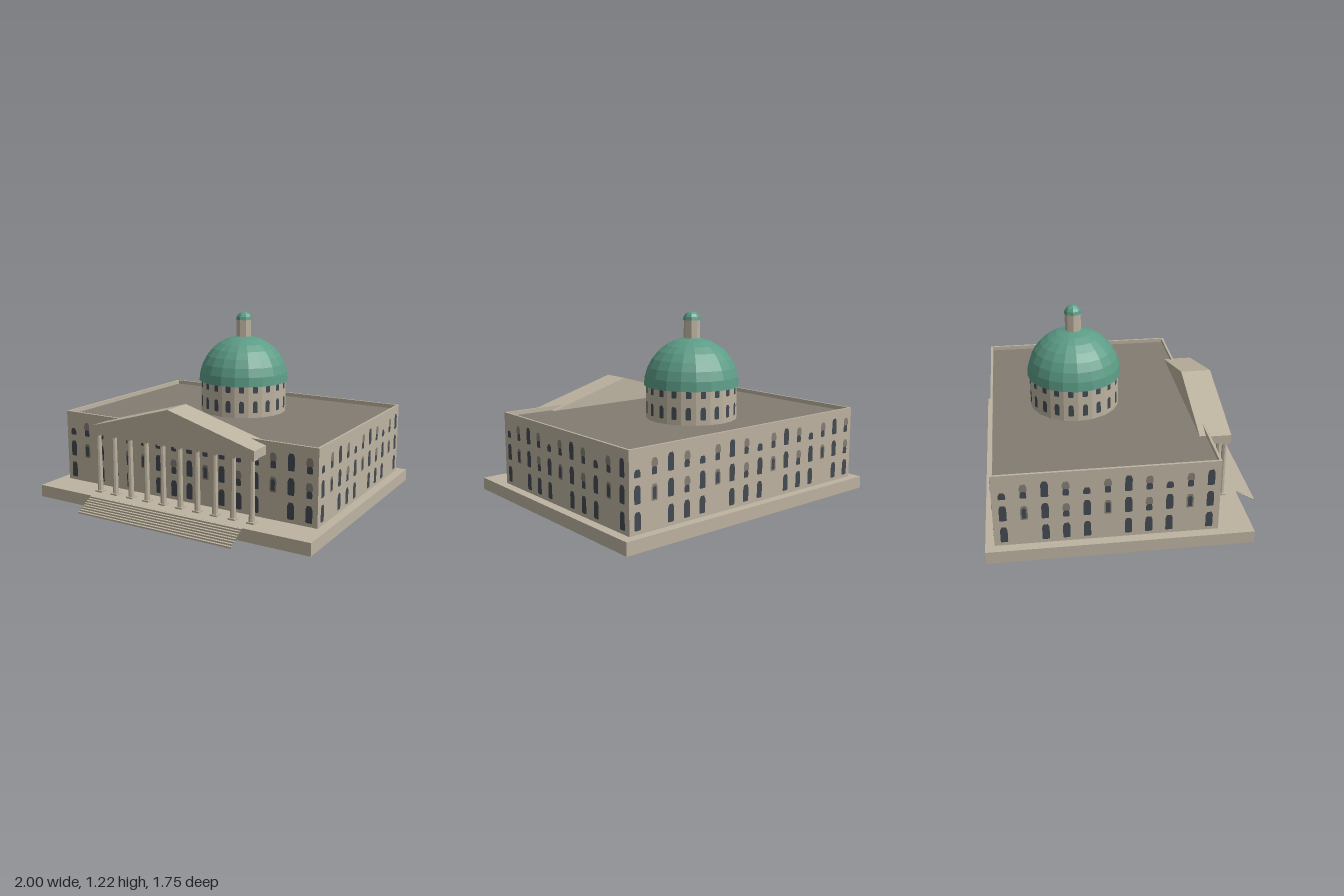
import * as THREE from 'three';
import { mergeGeometries } from 'three/addons/utils/BufferGeometryUtils.js';

const mat = (name, color, extra = {}) => {
  const m = new THREE.MeshStandardMaterial({ color, flatShading: true, ...extra });
  m.name = name;
  return m;
};

export function createModel() {
  const model = new THREE.Group();
  model.name = 'domedBuilding';
  const stone = mat('stone', 0xbdb3a0, { side: THREE.DoubleSide });
  const roofGrey = mat('roofGrey', 0x837c72, { side: THREE.DoubleSide });
  const copper = mat('copperGreen', 0x5c9c86, { side: THREE.DoubleSide });
  const glass = mat('darkGlass', 0x434a52, { side: THREE.DoubleSide });
  const blind = mat('windowBlind', 0x857e74, { side: THREE.DoubleSide });

  const add = (name, geo, material, x = 0, y = 0, z = 0, parent = model) => {
    const m = new THREE.Mesh(geo, material);
    m.name = name;
    m.position.set(x, y, z);
    parent.add(m);
    return m;
  };

  // Platform: a box open at the bottom
  const platform = new THREE.BoxGeometry(2, 0.08, 1.62);
  const idx = Array.from(platform.index.array);
  idx.splice(18, 6);
  platform.setIndex(idx);
  platform.clearGroups();
  add('platform', platform, stone, 0, 0.04, -0.065);

  // Front steps: a folded sheet of risers and treads
  const steps = 8, rise = 0.08 / steps, run = 0.13 / steps;
  const stepParts = [];
  for (let i = 0; i < steps; i++) {
    const z = 0.875 - i * run;
    stepParts.push(new THREE.PlaneGeometry(1.13, rise).translate(0, (i + 0.5) * rise, z));
    if (i < steps - 1) {
      stepParts.push(new THREE.PlaneGeometry(1.13, run).rotateX(-Math.PI / 2)
        .translate(0, (i + 1) * rise, z - run / 2));
    } else {
      stepParts.push(new THREE.PlaneGeometry(1.13, run).rotateX(-Math.PI / 2)
        .translate(0, 0.0798, z - run / 2));
    }
  }
  add('frontSteps', mergeGeometries(stepParts), stone);

  // Main block: a ring of walls with a sunken roof
  const halfW = 0.94, halfD = 0.675, midZ = -0.145, wall = 0.015;
  const rect = (path, w, d) => path.moveTo(-w, -d).lineTo(w, -d).lineTo(w, d).lineTo(-w, d).closePath();
  const ring = rect(new THREE.Shape(), halfW, halfD);
  ring.holes.push(rect(new THREE.Path(), halfW - wall, halfD - wall));
  const walls = new THREE.ExtrudeGeometry(ring, { depth: 0.48, bevelEnabled: false }).rotateX(-Math.PI / 2);
  add('walls', walls, stone, 0, 0.08, midZ);
  add('roof', new THREE.PlaneGeometry(2 * (halfW - wall), 2 * (halfD - wall)).rotateX(-Math.PI / 2),
    roofGrey, 0, 0.532, midZ);

  // Arched pane standing on y = 0
  const pane = (w, h) => {
    const a = w / 2, s = new THREE.Shape();
    s.moveTo(-a * 0.8, 0).lineTo(a * 0.8, 0).lineTo(a, 0.006).lineTo(a, h - a)
      .lineTo(a * 0.8, h - a * 0.45).lineTo(a * 0.55, h).lineTo(-a * 0.55, h)
      .lineTo(-a * 0.8, h - a * 0.45).lineTo(-a, h - a).lineTo(-a, 0.006).closePath();
    return new THREE.ShapeGeometry(s);
  };

  // Wall windows: three rows, with a repeating pattern of blinds every four columns
  const W = 0.044, H = 0.105;
  const rows = [0.103, 0.252, 0.4];
  const pattern = [
    ['full', 'full', 'low'],
    ['none', 'drawn', 'half'],
    ['full', 'full', 'full'],
    ['full', 'half', 'half'],
  ];
  const buildWindows = (count, reach, out) => {
    const dark = [], pale = [];
    for (let c = 0; c < count; c++) {
      const x = -reach + (2 * reach * c) / (count - 1);
      rows.forEach((y, r) => {
        const put = (list, w, h, dy = 0, dz = 0.002) => list.push(pane(w, h).translate(x, y + dy, out + dz));
        const kind = pattern[c % 4][r];
        if (kind === 'full') put(dark, W, H);
        if (kind === 'low') put(dark, W, 0.045);
        if (kind === 'drawn') {
          put(pale, W, H - 0.01);
          put(dark, W * 0.6, 0.07, 0.01, 0.004);
        }
        if (kind === 'half') {
          put(dark, W * 0.85, 0.05);
          put(pale, W, 0.05, 0.045, 0.004);
        }
      });
    }
    return [mergeGeometries(dark), mergeGeometries(pale)];
  };
  ['front', 'left', 'back', 'right'].forEach((side, k) => {
    const long = k % 2 === 0;
    const [dark, pale] = long ? buildWindows(16, 0.885, halfD) : buildWindows(11, 0.615, halfW);
    const g = new THREE.Group();
    g.name = side + 'Windows';
    g.position.z = midZ;
    g.rotation.y = k * Math.PI / 2;
    add('panes', dark, glass, 0, 0, 0, g);
    add('blinds', pale, blind, 0, 0, 0, g);
    model.add(g);
  });

  // Portico: beam, pediment and a row of columns
  add('portico beam', new THREE.BoxGeometry(1.2, 0.055, 0.16), stone, 0, 0.5025, 0.596);
  const gable = new THREE.Shape();
  gable.moveTo(-0.6, 0).lineTo(0.6, 0).lineTo(0, 0.172).closePath();
  add('pediment', new THREE.ExtrudeGeometry(gable, { depth: 0.201, bevelEnabled: false }),
    stone, 0, 0.53, 0.475);

  const shaft = new THREE.CylinderGeometry(0.016, 0.019, 0.38, 8);
  const block = new THREE.BoxGeometry(0.05, 0.01, 0.05);
  for (let i = 0; i < 10; i++) {
    const col = new THREE.Group();
    col.name = 'column';
    col.position.set(-0.57 + (1.14 * i) / 9, 0.08, 0.643);
    add('base', block, stone, 0, 0.005, 0, col);
    add('shaft', shaft, stone, 0, 0.198, 0, col);
    add('capital', block, stone, 0, 0.39, 0, col);
    model.add(col);
  }

  // Dome on its drum, with a lantern on top
  const dome = new THREE.Group();
  dome.name = 'domeTower';
  dome.position.z = -0.255;
  model.add(dome);
  const sides = 20, drumR = 0.297;
  add('drum', new THREE.CylinderGeometry(drumR, drumR, 0.22, sides, 1, true), stone, 0, 0.642, 0, dome);
  const drumPanes = [];
  for (let i = 0; i < sides; i++) {
    const a = ((i + 0.5) * 2 * Math.PI) / sides;
    for (const [y, h] of [[0.565, 0.08], [0.7, 0.055]]) {
      drumPanes.push(pane(0.034, h).translate(0, y, drumR * Math.cos(Math.PI / sides) + 0.002).rotateY(a));
    }
  }
  add('drumWindows', mergeGeometries(drumPanes), glass, 0, 0, 0, dome);

  const profile = [new THREE.Vector2(0, 0)];
  for (let i = 0; i <= 7; i++) {
    const a = (i / 7) * 1.4;
    profile.push(new THREE.Vector2(0.31 * Math.cos(a), 0.308 * Math.sin(a)));
  }
  profile.push(new THREE.Vector2(0, 0.306));
  add('dome', new THREE.LatheGeometry(profile, sides), copper, 0, 0.745, 0, dome);
  add('lantern', new THREE.CylinderGeometry(0.052, 0.052, 0.12, 8), stone, 0, 1.105, 0, dome);
  add('lanternCap', new THREE.SphereGeometry(0.057, 8, 4, 0, Math.PI * 2, 0, Math.PI / 2),
    copper, 0, 1.163, 0, dome);
  add('lanternCapBase', new THREE.CircleGeometry(0.057, 8).rotateX(Math.PI / 2), copper, 0, 1.163, 0, dome);

  return model;
}
